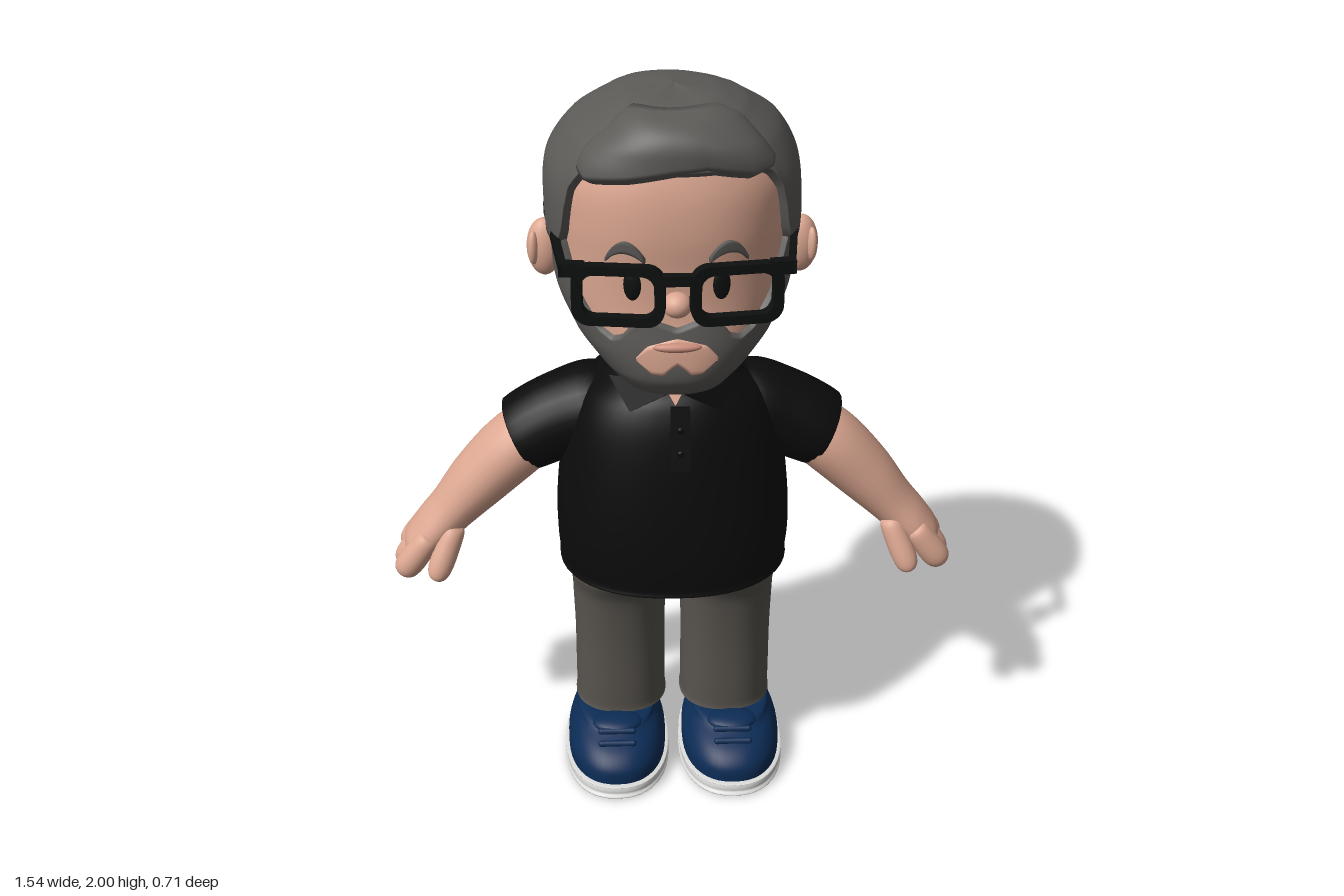
import * as THREE from 'three';
import { mergeVertices } from 'three/addons/utils/BufferGeometryUtils.js';

const mat = (name, color, side = THREE.FrontSide) => {
  const m = new THREE.MeshStandardMaterial({ color, side });
  m.name = name;
  return m;
};
const { sin, cos, PI, abs, sign, min, max, floor } = Math;
const clamp01 = (t) => min(1, max(0, t));

// Smooth surface from a rule fn(u, v) -> [x, y, z]; u runs round, v runs up
function grid(nu, nv, fn) {
  const pos = [], idx = [];
  for (let j = 0; j <= nv; j++) for (let i = 0; i <= nu; i++) pos.push(...fn(i / nu, j / nv));
  for (let j = 0; j < nv; j++) for (let i = 0; i < nu; i++) {
    const a = j * (nu + 1) + i, b = a + 1, c = a + nu + 1, d = c + 1;
    idx.push(a, b, d, a, d, c);
  }
  let g = new THREE.BufferGeometry();
  g.setAttribute('position', new THREE.Float32BufferAttribute(pos, 3));
  g.setIndex(idx);
  g = mergeVertices(g, 1e-5);
  g.computeVertexNormals();
  return g;
}

// Catmull-Rom sample of a table of rows at fractional row f
function rowAt(table, f) {
  const last = table.length - 1, i = min(last - 1, max(0, floor(f))), t = f - i;
  const r = (k) => table[min(last, max(0, k))];
  return table[0].map((_, c) => {
    const p0 = r(i - 1)[c], p1 = r(i)[c], p2 = r(i + 1)[c], p3 = r(i + 2)[c];
    const a = (p2 - p0) / 2, b = (p3 - p1) / 2, d = p1 - p2;
    return ((2 * d + a + b) * t + (-3 * d - 2 * a - b)) * t * t + a * t + p1;
  });
}

// Rounded-box ring point; rows are [y, halfWidth, zFront, zBack]
function ringPoint([y, rx, zf, zb], th, e = 0.87) {
  const s = sin(th), c = cos(th);
  return [max(0, rx) * sign(s) * abs(s) ** e, y, (zf + zb) / 2 + ((zf - zb) / 2) * sign(c) * abs(c) ** e];
}
const loft = (rows, e) => grid(48, (rows.length - 1) * 6,
  (u, v) => ringPoint(rowAt(rows, v * (rows.length - 1)), u * 2 * PI, e));

// Limb along a path; rows are [x, y, z, radius, radiusZ]
function limb(rows) {
  const n = rows.length - 1;
  return grid(24, n * 6, (u, v) => {
    const p = rowAt(rows, v * n), a = rowAt(rows, max(0, v * n - 0.05)), b = rowAt(rows, min(n, v * n + 0.05));
    const t = new THREE.Vector2(b[0] - a[0], b[1] - a[1]).normalize();
    const s = sin(u * 2 * PI) * max(0, p[3]), c = cos(u * 2 * PI) * max(0, p[4]);
    return [p[0] + t.y * s, p[1] - t.x * s, p[2] + c];
  });
}
const ball = (rx, ry, rz, x, y, z, turn = 0) =>
  new THREE.SphereGeometry(1, 24, 16).scale(rx, ry, rz).rotateY(turn).translate(x, y, z);
const box = (w, h, d) => new THREE.BoxGeometry(w, h, d);

function mirrored(geo) {
  const g = mergeVertices(geo.clone()).scale(-1, 1, 1), ix = g.index;
  for (let i = 0; i < ix.count; i += 3) {
    const a = ix.getX(i);
    ix.setX(i, ix.getX(i + 1));
    ix.setX(i + 1, a);
  }
  return g;
}

// Head profile and points on it, pushed out by off
const HEAD = [
  [1.25, 0.02, 0.14, 0.1], [1.257, 0.09, 0.2, 0.02], [1.28, 0.135, 0.25, -0.08], [1.33, 0.185, 0.285, -0.18],
  [1.4, 0.24, 0.29, -0.235], [1.5, 0.285, 0.28, -0.29], [1.6, 0.295, 0.285, -0.32], [1.7, 0.3, 0.295, -0.33],
  [1.8, 0.293, 0.29, -0.31], [1.88, 0.245, 0.265, -0.255], [1.94, 0.165, 0.21, -0.17], [1.965, 0.1, 0.15, -0.09],
  [1.978, 0, 0.03, 0.03]];
function headPoint(th, y, off = 0) {
  let i = 0;
  while (i < HEAD.length - 2 && y > HEAD[i + 1][0]) i++;
  const row = rowAt(HEAD, i + clamp01((y - HEAD[i][0]) / (HEAD[i + 1][0] - HEAD[i][0])));
  row[0] = y;
  const p = new THREE.Vector3(...ringPoint(row, th)), c = new THREE.Vector3(0, 1.62, -0.02);
  return p.addScaledVector(p.clone().sub(c).normalize(), off).toArray();
}
// Piecewise line through [degrees, y] pairs
function line(pts, deg) {
  let i = 0;
  while (i < pts.length - 2 && deg > pts[i + 1][0]) i++;
  const [a, b] = [pts[i], pts[i + 1]];
  return a[1] + (b[1] - a[1]) * clamp01((deg - a[0]) / (b[0] - a[0]));
}
// Raised patch of the head between two edge curves, with its rim tucked in
function patch(d0, d1, lo, hi, off, nu, nv, ease = (t) => t) {
  const full = d1 - d0 >= 360;
  return grid(nu, nv, (u, v) => {
    const s = full ? u : clamp01((u * nu - 1) / (nu - 2)), t = clamp01((v * nv - 1) / (nv - 2));
    const deg = d0 + (d1 - d0) * s, rim = v === 0 || v === 1 || (!full && (u === 0 || u === 1));
    const y = lo(deg) + (hi(deg) - lo(deg)) * ease(t);
    return headPoint(deg * PI / 180, y, rim ? -0.008 : off(s, t, deg, y));
  });
}

export function createModel() {
  const root = new THREE.Group();
  const skin = mat('skin', 0xdca791), hair = mat('hair grey', 0x5d5b58), shirt = mat('shirt black', 0x0b0b0b, THREE.DoubleSide);
  const frame = mat('glasses black', 0x0d100f), trouser = mat('trouser grey', 0x5a5650), blue = mat('shoe blue', 0x0c2c55);
  const white = mat('sole white', 0xdcdcda), lip = mat('lip', 0xc98d7b);
  const add = (name, geo, m) => {
    const mesh = new THREE.Mesh(geo, m);
    mesh.name = name;
    root.add(mesh);
  };
  const pair = (name, geo, m) => {
    add('left ' + name, geo, m);
    add('right ' + name, mirrored(geo), m);
  };

  // Head, neck, ears and nose
  add('head', grid(64, 56, (u, v) => headPoint(u * 2 * PI, 1.25 + 0.728 * (1 - cos(PI * v)) / 2)), skin);
  add('neck', new THREE.CylinderGeometry(0.12, 0.13, 0.22, 32).translate(0, 1.27, -0.05), skin);
  pair('ear', ball(0.045, 0.077, 0.036, 0.326, 1.56, -0.01, 0.2), skin);
  pair('ear fold', ball(0.014, 0.045, 0.02, 0.352, 1.565, 0.012, 0.3), skin);
  add('nose', ball(0.036, 0.032, 0.035, 0, 1.53, 0.292), skin);

  // Hair cap with soft combed ridges, and the swept fringe
  const hairline = [[0, 1.85], [35, 1.85], [47, 1.83], [53, 1.78], [57, 1.68], [62, 1.63], [96, 1.62], [102, 1.58],
    [122, 1.42], [138, 1.345], [180, 1.33]];
  add('hair', patch(-180, 180, (d) => line(hairline, abs(d)), () => 1.978,
    (s, t, d, y) => 0.023 + 0.004 * sin(d * PI / 60 + y * 18) * sin(PI * t), 144, 44, (t) => sin(t * PI / 2)), hair);
  const fringe = [[-54, 1.84], [-42, 1.815], [-20, 1.83], [0, 1.85], [12, 1.855], [35, 1.83], [48, 1.835], [58, 1.86]];
  add('fringe', patch(-54, 58, (d) => line(fringe, d), () => 1.958,
    (s, t) => 0.012 + 0.046 * sin(PI * (0.18 + 0.6 * t)) * sin(PI * s) ** 0.4 + 0.004 * sin(9 * s + 7 * t), 60, 20), hair);

  // Beard, with a bare patch round the mouth
  const cheek = [[0, 1.465], [10, 1.488], [18, 1.478], [27, 1.44], [34, 1.43], [42, 1.45], [50, 1.51], [57, 1.6], [62, 1.66], [90, 1.64]];
  add('beard', patch(-92, 92, () => 1.25, (d) => line(cheek, abs(d)), () => 0.014, 92, 34), hair);
  const mouthTop = [[0, 1.448], [13, 1.428], [21, 1.395]], mouthLow = [[0, 1.385], [7, 1.355], [14, 1.357], [21, 1.39]];
  add('mouth patch', patch(-21, 21, (d) => line(mouthLow, abs(d)), (d) => line(mouthTop, abs(d)), () => 0.018, 34, 10), skin);
  add('lip', ball(0.06, 0.013, 0.016, 0, 1.42, 0.3), lip);

  // Brows and eyes
  pair('brow', patch(12, 31, (d) => 1.66 - ((d - 21) / 60) ** 2, (d) => 1.69 - ((d - 21) / 45) ** 2, () => 0.012, 16, 6), hair);
  pair('eye', ball(0.022, 0.04, 0.009, 0.108, 1.575, 0.273, 0.25), frame);

  // Glasses
  const rounded = (C, w, h, r) => {
    const c = new C();
    for (const [sx, sy, a] of [[1, 1, 0], [-1, 1, PI / 2], [-1, -1, PI], [1, -1, PI * 1.5]])
      c.absarc(sx * (w / 2 - r), sy * (h / 2 - r), r, a, a + PI / 2, false);
    return c;
  };
  const rim = rounded(THREE.Shape, 0.225, 0.155, 0.045);
  rim.holes.push(rounded(THREE.Path, 0.175, 0.108, 0.03));
  pair('glasses rim', new THREE.ExtrudeGeometry(rim, { depth: 0.028, bevelEnabled: false, curveSegments: 8 })
    .rotateY(0.13).translate(0.14, 1.572, 0.308), frame);
  pair('glasses hinge', box(0.06, 0.034, 0.028).rotateY(0.13).translate(0.252, 1.635, 0.306), frame);
  pair('glasses temple', box(0.018, 0.03, 0.4).rotateY(-0.116).translate(0.295, 1.637, 0.118), frame);
  add('glasses bridge', box(0.08, 0.026, 0.024).translate(0, 1.615, 0.336), frame);

  // Polo shirt
  add('shirt body', loft([
    [0.652, 0, -0.01, -0.03], [0.653, 0.28, 0.23, -0.265], [0.68, 0.308, 0.253, -0.29], [0.8, 0.315, 0.255, -0.295],
    [0.95, 0.303, 0.24, -0.292], [1.08, 0.278, 0.218, -0.272], [1.16, 0.24, 0.195, -0.25], [1.21, 0.185, 0.165, -0.232],
    [1.25, 0.15, 0.1, -0.215], [1.29, 0.12, 0.04, -0.19], [1.3, 0, -0.06, -0.06]]), shirt);
  pair('sleeve', limb([
    [0.1, 1.1, -0.05, 0.05, 0.08], [0.19, 1.09, -0.05, 0.115, 0.13], [0.3, 1.055, -0.05, 0.116, 0.122],
    [0.4, 1.005, -0.05, 0.106, 0.118], [0.406, 1.002, -0.05, 0.09, 0.1], [0.41, 1.0, -0.05, 0, 0]]), shirt);
  add('collar', grid(64, 8, (u, v) => {
    const th = (10 + 340 * u) * PI / 180, back = (1 - cos(th)) / 2;
    const top = 1.24 + 0.085 * back, k = min(v / 0.75, 1), r = 0.042 * k + 0.05 * max(0, v - 0.75) * 4;
    return [sin(th) * (0.19 - r), top - 0.065 * (1 - k) - 0.02 * max(0, v - 0.75) * 4, -0.03 + cos(th) * (0.207 - r)];
  }), shirt);
  const flap = new THREE.Shape([[0.012, 1.235], [0.115, 1.165], [0.185, 1.25], [0.1, 1.26]].map((p) => new THREE.Vector2(...p)));
  pair('collar flap', new THREE.ExtrudeGeometry(flap, { depth: 0.016, bevelEnabled: false })
    .translate(0, -1.2, 0).rotateX(-0.35).rotateY(0.42).translate(0, 1.2, 0.19), shirt);
  add('placket', box(0.05, 0.17, 0.012).rotateX(-0.24).translate(0.012, 1.115, 0.211), shirt);
  for (const y of [1.08, 1.14]) add('button', ball(0.009, 0.009, 0.005, 0.012, y, 0.219 - (y - 1.115) * 0.24), shirt);
  const vee = new THREE.Shape([[-0.03, 1.25], [0, 1.195], [0.03, 1.25]].map((p) => new THREE.Vector2(...p)));
  add('open neck', new THREE.ExtrudeGeometry(vee, { depth: 0.008, bevelEnabled: false })
    .translate(0, -1.2, 0).rotateX(-0.4).translate(0, 1.2, 0.178), skin);

  // Arms, fingers and thumbs
  pair('arm', limb([
    [0.33, 1.04, -0.04, 0.08, 0.09], [0.42, 0.975, -0.04, 0.09, 0.106], [0.52, 0.875, -0.04, 0.082, 0.1],
    [0.6, 0.785, -0.037, 0.066, 0.09], [0.66, 0.72, -0.035, 0.058, 0.094], [0.705, 0.67, -0.035, 0.044, 0.088],
    [0.715, 0.655, -0.035, 0, 0]]), skin);
  const finger = (x0, y0, x1, y1, z0, z1, r) => {
    const at = (t, k) => [x0 + (x1 - x0) * t, y0 + (y1 - y0) * t, z0 + (z1 - z0) * t, r * k, r * k];
    return limb([at(0, 0), at(0.05, 0.8), at(0.4, 1), at(0.75, 1), at(0.93, 0.7), at(1, 0)]);
  };
  [[-0.106, 0.745], [-0.034, 0.755], [0.036, 0.748]].forEach(([z, x], i) =>
    pair('finger ' + (i + 1), finger(0.66, 0.73, x, 0.6 + 0.012 * abs(i - 1), z, z, 0.037), skin));
  pair('thumb', finger(0.59, 0.76, 0.652, 0.615, 0.03, 0.078, 0.033), skin);

  // Trousers
  add('trouser seat', loft([
    [0.525, 0, 0, -0.03], [0.535, 0.08, 0.06, -0.1], [0.58, 0.245, 0.135, -0.18], [0.64, 0.275, 0.19, -0.195],
    [0.7, 0.275, 0.2, -0.2], [0.71, 0, 0, 0]]), trouser);
  pair('trouser leg', loft([
    [0.163, 0, -0.04, -0.04], [0.165, 0.118, 0.08, -0.165], [0.19, 0.126, 0.092, -0.176], [0.4, 0.126, 0.112, -0.172],
    [0.56, 0.13, 0.138, -0.182], [0.66, 0.128, 0.17, -0.185], [0.69, 0, 0, 0]]).translate(0.149, 0, 0), trouser);

  // Ankles and shoes
  pair('ankle', new THREE.CylinderGeometry(0.1, 0.1, 0.05, 24).translate(0.155, 0.15, -0.045), skin);
  pair('shoe sole', loft([
    [0, 0, 0.04, 0.04], [0.001, 0.136, 0.26, -0.188], [0.015, 0.145, 0.272, -0.198], [0.034, 0.144, 0.27, -0.197],
    [0.042, 0.135, 0.26, -0.188], [0.043, 0, 0.04, 0.04]]).translate(0.163, 0, 0), white);
  pair('shoe upper', loft([
    [0.036, 0.138, 0.264, -0.191], [0.08, 0.138, 0.26, -0.192], [0.115, 0.126, 0.228, -0.19], [0.14, 0.112, 0.17, -0.184],
    [0.158, 0.1, 0.12, -0.17], [0.163, 0, -0.03, -0.03]]).translate(0.163, 0, 0), blue);
  [[0.195, 0.132], [0.16, 0.148]].forEach(([z, y]) => pair('shoe lace',
    new THREE.CapsuleGeometry(0.009, 0.09, 4, 10).rotateZ(PI / 2).translate(0.163, y, z), blue));
  pair('shoe tongue', ball(0.07, 0.02, 0.05, 0.163, 0.15, 0.115), blue);

  return root;
}
